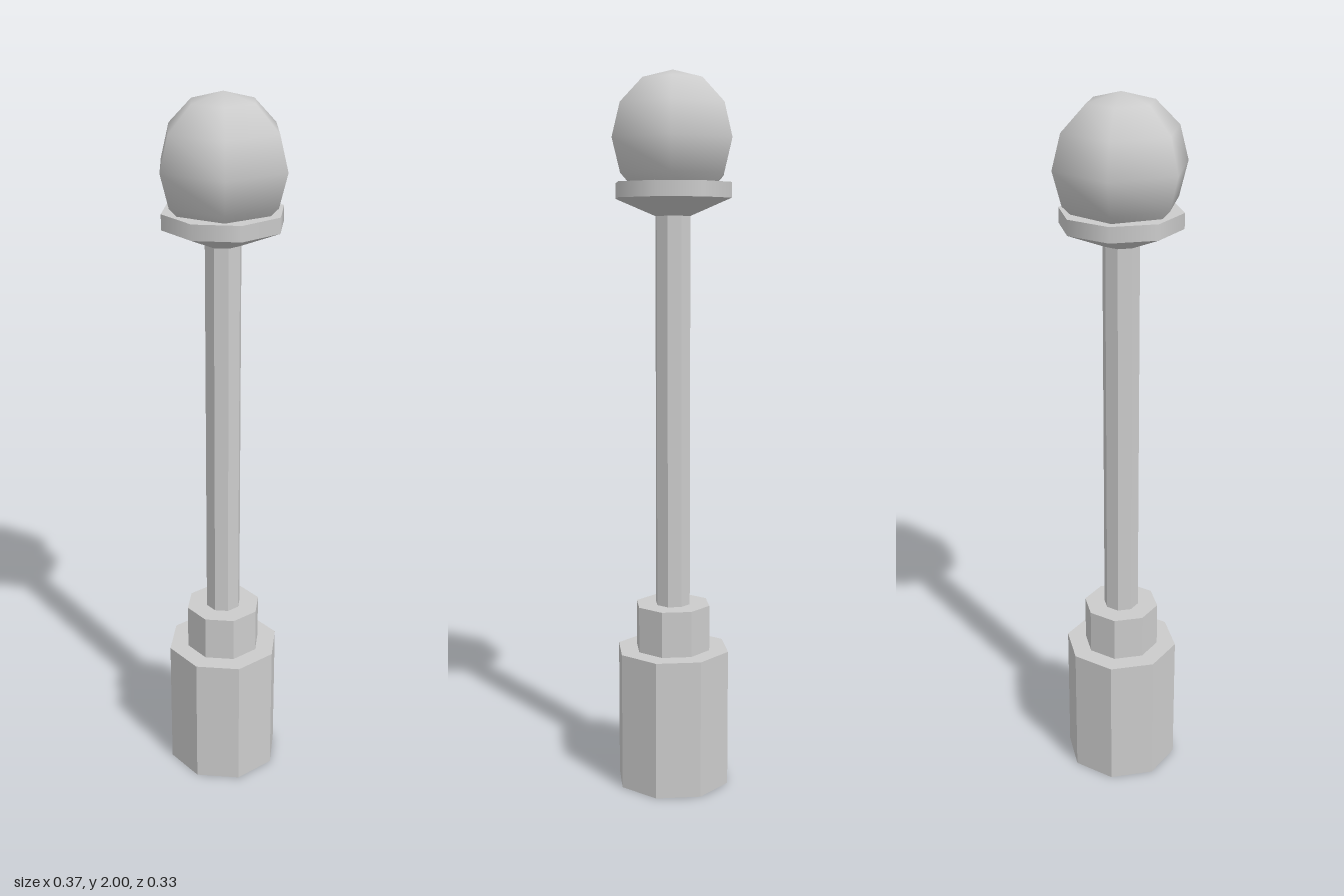
import * as THREE from 'three';

const flat = new THREE.MeshStandardMaterial({ color: 0xcccccc, flatShading: true, side: THREE.DoubleSide });
const smooth = new THREE.MeshStandardMaterial({ color: 0xcccccc, side: THREE.DoubleSide });

// Flat ring closing the step between two octagonal sections
function ledge(name, inner, outer, y, material) {
  const mesh = new THREE.Mesh(new THREE.RingGeometry(inner, outer, 8, 1), material);
  mesh.name = name;
  mesh.rotation.x = -Math.PI / 2;
  mesh.position.y = y;
  return mesh;
}

// Open octagonal section between two heights
function section(name, rBottom, rTop, y0, y1, material) {
  const geometry = new THREE.CylinderGeometry(rTop, rBottom, y1 - y0, 8, 1, true);
  const mesh = new THREE.Mesh(geometry, material);
  mesh.name = name;
  mesh.position.y = (y0 + y1) / 2;
  return mesh;
}

export function createModel() {
  const model = new THREE.Group();
  model.name = 'lampPost';

  // Stepped foot, open underneath, and slim pole
  model.add(
    section('base', 0.163, 0.163, 0, 0.39, flat),
    ledge('baseTop', 0.108, 0.163, 0.39, flat),
    section('collar', 0.108, 0.108, 0.39, 0.52, flat),
    ledge('collarTop', 0.05, 0.108, 0.52, flat),
    section('pole', 0.05, 0.05, 0.52, 1.61, flat)
  );

  // Flared holder under the globe
  model.add(
    section('holderFlare', 0.05, 0.166, 1.61, 1.658, smooth),
    section('holderRim', 0.166, 0.166, 1.658, 1.7, smooth),
    ledge('holderTop', 0.1, 0.166, 1.7, smooth)
  );

  // Six-sided globe with soft shading
  const globe = new THREE.Mesh(new THREE.SphereGeometry(0.185, 6, 6), smooth);
  globe.name = 'globe';
  globe.position.y = 1.815;
  model.add(globe);

  return model;
}
